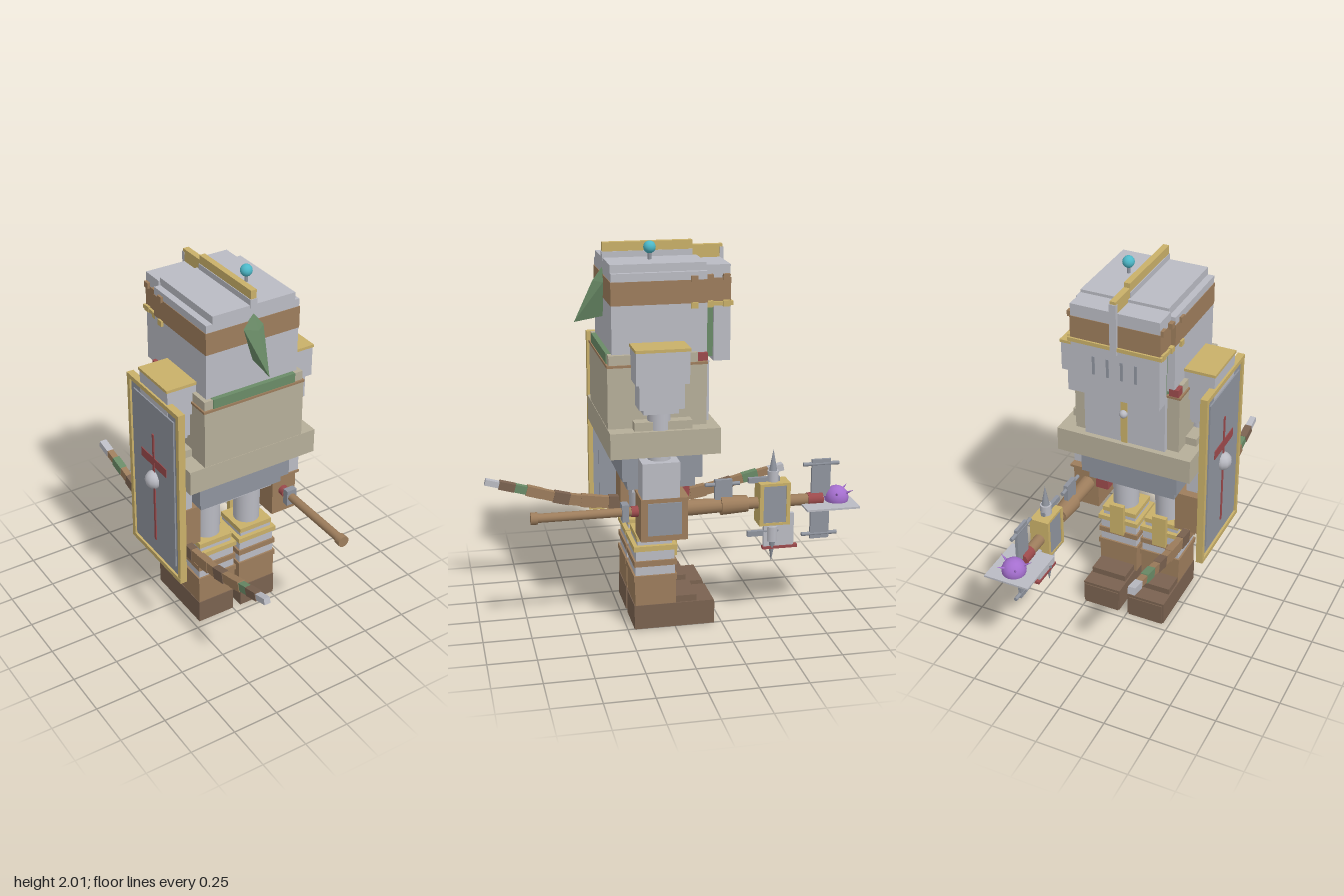
import * as THREE from 'three';

const mat = (name, color, extra = {}) => Object.assign(new THREE.MeshStandardMaterial({ color, ...extra }), { name });

export function createModel() {
  const steel = mat('light steel', 0xbabbc3), iron = mat('dark steel', 0x8f949e);
  const gold = mat('gold', 0xc9b069), cloth = mat('beige cloth', 0xb6ae99);
  const leather = mat('leather', 0x9d7d5c), boot = mat('dark leather', 0x7a6250);
  const green = mat('green', 0x6a8b67), cyan = mat('cyan', 0x4db8c8);
  const purple = mat('purple', 0xa56fcf), red = mat('red', 0x9c4a4c);
  const root = new THREE.Group();
  root.name = 'armouredFigure';

  const add = (name, geo, m, x = 0, y = 0, z = 0, parent = root) => {
    const mesh = new THREE.Mesh(geo, m);
    mesh.name = name;
    mesh.position.set(x, y, z);
    parent.add(mesh);
    return mesh;
  };
  const group = (name) => {
    const g = new THREE.Group();
    g.name = name;
    root.add(g);
    return g;
  };
  // box given by its extents on each axis
  const box = (name, m, [x0, x1], [y0, y1], [z0, z1], parent) =>
    add(name, new THREE.BoxGeometry(x1 - x0, y1 - y0, z1 - z0), m, (x0 + x1) / 2, (y0 + y1) / 2, (z0 + z1) / 2, parent);
  // cylinder along z
  const rod = (name, m, r0, r1, x, y, z0, z1, parent) => {
    const c = add(name, new THREE.CylinderGeometry(r1, r0, Math.abs(z1 - z0), 16), m, x, y, (z0 + z1) / 2, parent);
    c.rotation.x = Math.PI / 2;
    return c;
  };
  const CX = 0.022;
  const sides = [-1, 1];

  // Head
  const head = group('head');
  box('helmet', steel, [-0.24, 0.285], [1.46, 1.875], [-0.15, 0.325], head);
  box('helmetBand', leather, [-0.243, 0.288], [1.72, 1.835], [-0.153, 0.328], head);
  box('helmetCap', steel, [-0.205, 0.26], [1.875, 1.915], [-0.15, 0.325], head);
  box('brow', steel, [-0.215, 0.255], [1.7, 1.9], [-0.272, -0.15], head);
  box('browBand', leather, [-0.218, 0.258], [1.72, 1.835], [-0.275, -0.15], head);
  box('browTrim', gold, [-0.23, 0.27], [1.7, 1.72], [-0.285, -0.16], head);
  box('visor', steel, [-0.215, 0.255], [1.42, 1.7], [-0.275, -0.19], head);
  box('visorLining', green, [-0.2, 0.24], [1.44, 1.7], [-0.19, -0.14], head);
  for (let i = 0; i < 4; i++) {
    const x = CX + (i - 1.5) * 0.075;
    box('visorSlit', iron, [x - 0.007, x + 0.007], [1.54, 1.64], [-0.279, -0.274], head);
  }
  box('crestBack', gold, [0.006, 0.038], [1.915, 1.99], [-0.13, 0.325], head);
  box('crestFront', gold, [0.006, 0.038], [1.9, 1.965], [-0.285, -0.13], head);
  box('crestBase', steel, [0.002, 0.042], [1.9, 1.945], [-0.13, 0.328], head);
  box('noseBar', steel, [0.004, 0.04], [1.68, 1.95], [-0.29, -0.27], head);
  for (const s of sides)
    for (const [y, m] of [[1.71, gold], [1.84, leather]])
      for (const [z, w] of [[-0.085, 0.26], [-0.165, 0.245], [-0.25, 0.238]])
        add('buckle', new THREE.BoxGeometry(0.03, 0.03, 0.035), m, CX + s * w, y, z, head);

  // Faceted plume
  const plume = new THREE.BufferGeometry();
  const top = [CX, 1.875, 0.32], a = [-0.035, 1.8, 0.33], b = [0.077, 1.8, 0.33], low = [CX, 1.62, 0.32];
  const tip = [CX, 1.595, 0.47], ridge = [CX, 1.8, 0.375];
  const faces = [top, a, ridge, top, ridge, b, a, tip, ridge, ridge, tip, b, a, low, tip, b, tip, low];
  plume.setAttribute('position', new THREE.Float32BufferAttribute(faces.flat(), 3));
  plume.computeVertexNormals();
  green.side = THREE.DoubleSide;
  add('plume', plume, green, 0, 0, 0, head);
  add('beaconStem', new THREE.CylinderGeometry(0.009, 0.009, 0.06, 10), iron, 0.125, 1.935, 0.105, head);
  add('beacon', new THREE.SphereGeometry(0.031, 20, 14), cyan, 0.125, 1.975, 0.105, head);

  // Torso
  const torso = group('torso');
  box('coat', cloth, [-0.265, 0.31], [1.1, 1.43], [-0.145, 0.352], torso);
  box('coatTrim', leather, [-0.27, 0.315], [1.42, 1.432], [-0.148, 0.355], torso);
  box('coatCollar', cloth, [-0.262, 0.307], [1.432, 1.48], [-0.1, 0.345], torso);
  box('scarf', green, [-0.215, 0.26], [1.43, 1.482], [-0.13, 0.35], torso);
  box('chestPlate', steel, [-0.2, 0.244], [1.1, 1.42], [-0.172, -0.14], torso);
  box('chestStrip', gold, [0.004, 0.04], [1.11, 1.42], [-0.178, -0.17], torso);
  add('chestStud', new THREE.SphereGeometry(0.022, 12, 10), steel, CX, 1.285, -0.182, torso);
  for (const s of sides) add('strapEnd', new THREE.BoxGeometry(0.05, 0.04, 0.05), red, CX + s * 0.258, 1.455, -0.125, torso);
  box('waist', cloth, [-0.325, 0.37], [1.1, 1.155], [-0.06, 0.23], torso);
  box('belt', cloth, [-0.35, 0.392], [0.98, 1.112], [-0.2, 0.354], torso);
  box('skirt', iron, [-0.25, 0.294], [0.83, 0.985], [-0.13, 0.28], torso);
  box('skirtLower', iron, [-0.225, 0.265], [0.775, 0.83], [-0.1, 0.25], torso);
  box('hips', steel, [-0.18, 0.225], [0.745, 0.78], [-0.05, 0.22], torso);
  box('pouch', red, [0.17, 0.24], [0.7, 0.8], [-0.075, -0.02], torso);

  // Arms
  for (const s of sides) {
    const arm = group(s > 0 ? 'leftArm' : 'rightArm');
    const ext = (p, q) => [CX + s * p, CX + s * q].sort((m, n) => m - n);
    box('shoulderTop', gold, ext(0.26, 0.428), [1.52, 1.535], [-0.035, 0.238], arm);
    box('shoulder', steel, ext(0.26, 0.423), [1.36, 1.52], [-0.03, 0.235], arm);
    box('shoulderMiddle', steel, ext(0.27, 0.4), [1.23, 1.36], [-0.01, 0.215], arm);
    box('shoulderLower', steel, ext(0.27, 0.375), [1.2, 1.23], [0.015, 0.19], arm);
    add('upperArm', new THREE.CylinderGeometry(0.058, 0.058, 0.4, 20), steel, CX + s * 0.305, 1.06, 0.1, arm);
    box('forearm', steel, ext(0.27, 0.39), [0.765, 0.955], [0.01, 0.2], arm);
    box('cuff', leather, ext(0.22, 0.392), [0.757, 0.77], [-0.035, 0.208], arm);
    box('glove', leather, ext(0.225, 0.37), [0.538, 0.76], [-0.035, 0.205], arm);
    box('glovePlate', iron, ext(0.368, 0.376), [0.57, 0.74], [-0.003, 0.17], arm);
  }

  // Legs: stacked layers [bottom, top, inset, material]
  const layers = [
    [0.13, 0.28, 0, leather], [0.27, 0.3, -0.006, leather], [0.3, 0.35, 0.004, steel],
    [0.35, 0.38, -0.004, leather], [0.38, 0.44, 0.006, steel], [0.435, 0.462, -0.006, gold],
    [0.462, 0.485, 0.016, steel], [0.485, 0.512, 0.012, gold],
  ];
  for (const s of sides) {
    const leg = group(s > 0 ? 'leftLeg' : 'rightLeg');
    const x = CX + s * 0.126;
    add('thigh', new THREE.CylinderGeometry(0.074, 0.07, 0.27, 24), steel, x, 0.625, 0.105, leg);
    for (const [y0, y1, i, m] of layers)
      box('greave', m, [x - 0.111 + i, x + 0.111 - i], [y0, y1], [-0.002 + i, 0.212 - i], leg);
    box('kneePlate', gold, [x - 0.04, x + 0.04], [0.37, 0.56], [-0.022, 0.005], leg);
    const f = x + s * 0.006;
    box('instep', boot, [f - 0.1, f + 0.1], [0.1, 0.17], [-0.115, 0.21], leg);
    box('shoe', boot, [f - 0.108, f + 0.108], [0.005, 0.135], [-0.205, 0.216], leg);
    box('sole', boot, [f - 0.1, f + 0.1], [0, 0.12], [-0.21, 0.21], leg);
  }

  // Shield
  const shield = group('shield');
  box('shieldPlate', iron, [-0.4, -0.378], [0.46, 1.45], [-0.135, 0.34], shield);
  box('shieldPanel', iron, [-0.408, -0.37], [0.52, 1.39], [-0.09, 0.295], shield);
  for (const y of [0.445, 1.43]) box('shieldRim', gold, [-0.412, -0.374], [y, y + 0.025], [-0.145, 0.35], shield);
  for (const z of [-0.145, 0.325]) box('shieldRim', gold, [-0.411, -0.374], [0.445, 1.455], [z, z + 0.025], shield);
  box('crossUpright', red, [-0.413, -0.407], [0.57, 1.22], [0.094, 0.11], shield);
  box('crossBar', red, [-0.412, -0.407], [1.03, 1.08], [-0.02, 0.225], shield);
  add('shieldBoss', new THREE.SphereGeometry(0.05, 10, 8), steel, -0.41, 0.95, 0.1, shield).scale.x = 0.95;

  // Bow: overlapping tapered blocks along an arc
  const bow = group('bow');
  const arc = new THREE.CatmullRomCurve3([[0.92, 0.682], [0.72, 0.625], [0.45, 0.55], [0.1, 0.515],
    [-0.25, 0.55], [-0.52, 0.615], [-0.72, 0.66]].map(([z, y]) => new THREE.Vector3(-0.275, y, z)));
  const N = 22, len = arc.getLength() / N;
  for (let i = 0; i < N; i++) {
    const t = (i + 0.5) / N, e = Math.abs(2 * t - 1), p = arc.getPointAt(t);
    const end = i === 0 || i === N - 1;
    const m = end ? steel : i === 2 || i === N - 3 ? green : i % 4 === 1 ? boot : leather;
    const h = 0.065 - 0.035 * e * e + (i % 2) * 0.006;
    const seg = add('bowSegment', new THREE.BoxGeometry(0.034 + (i % 2) * 0.006, h, len * 1.15), m, p.x, p.y, p.z, bow);
    seg.lookAt(p.clone().add(arc.getTangentAt(t)));
  }

  // Polearm
  const pole = group('polearm');
  const X = 0.313, Y = 0.677;
  rod('shaft', leather, 0.023, 0.023, X, Y, 0.72, -0.04, pole);
  rod('pommel', leather, 0.031, 0.031, X, Y, 0.745, 0.71, pole);
  box('shaftClamp', iron, [X - 0.03, X + 0.03], [Y - 0.045, Y + 0.045], [0.255, 0.29], pole);
  rod('shaftBand', red, 0.028, 0.028, X, Y, 0.24, 0.205, pole);
  rod('sleeve', leather, 0.036, 0.042, X, Y, -0.03, -0.23, pole);
  rod('sleeveEnd', leather, 0.042, 0.05, X, Y, -0.22, -0.36, pole);
  rod('neck', leather, 0.03, 0.03, X, Y, -0.36, -0.72, pole);
  rod('neckBand', red, 0.034, 0.034, X, Y, -0.68, -0.76, pole);
  box('headBlock', iron, [X - 0.047, X + 0.047], [0.575, 0.78], [-0.57, -0.42], pole);
  for (const z of [-0.425, -0.565]) box('blockFrame', gold, [X - 0.053, X + 0.053], [0.565, 0.79], [z - 0.01, z + 0.01], pole);
  for (const y of [0.572, 0.783]) box('blockFrame', gold, [X - 0.05, X + 0.05], [y - 0.007, y + 0.007], [-0.565, -0.425], pole);
  for (const s of sides) {
    // spikes and their sockets above and below the block
    const yc = 0.655;
    add('spikeSocket', new THREE.CylinderGeometry(0.03, 0.03, 0.08, 10), steel, X, yc + s * 0.15, -0.495, pole);
    const spike = add('spike', new THREE.ConeGeometry(0.024, 0.13, 10), iron, X, yc + s * 0.24, -0.495, pole);
    if (s < 0) spike.rotation.z = Math.PI;
    box('sideHook', iron, [X - 0.01, X + 0.01], [yc + s * 0.145 - 0.014, yc + s * 0.145 + 0.014], [-0.53, -0.365], pole);
    // cross blade with end pins
    add('blade', new THREE.BoxGeometry(0.016, 0.2, 0.1), iron, X, 0.675 + s * 0.115, -0.75, pole);
    rod('bladePin', iron, 0.01, 0.01, X, 0.675 + s * 0.19, -0.655, -0.845, pole);
  }
  box('smallBlade', iron, [X - 0.012, X + 0.012], [0.71, 0.815], [-0.28, -0.19], pole);
  rod('smallBladePin', iron, 0.01, 0.01, X, 0.79, -0.14, -0.32, pole);
  box('lowerBlade', steel, [X - 0.01, X + 0.01], [0.435, 0.61], [-0.61, -0.45], pole);
  box('lowerBladeEdge', red, [X - 0.014, X + 0.014], [0.422, 0.437], [-0.63, -0.445], pole);
  box('tray', steel, [0.19, 0.435], [0.651, 0.661], [-0.925, -0.645], pole);
  add('orb', new THREE.IcosahedronGeometry(0.063, 2), purple, X, 0.678, -0.838, pole);
  for (let i = 0; i < 5; i++) {
    const q = (i / 5) * Math.PI * 2 + 0.3, dir = new THREE.Vector3(Math.cos(q), 0.55, Math.sin(q)).normalize();
    const claw = add('claw', new THREE.ConeGeometry(0.011, 0.07, 6), purple, X + dir.x * 0.07, 0.678 + dir.y * 0.07, -0.838 + dir.z * 0.07, pole);
    claw.quaternion.setFromUnitVectors(new THREE.Vector3(0, 1, 0), dir);
  }
  return root;
}
